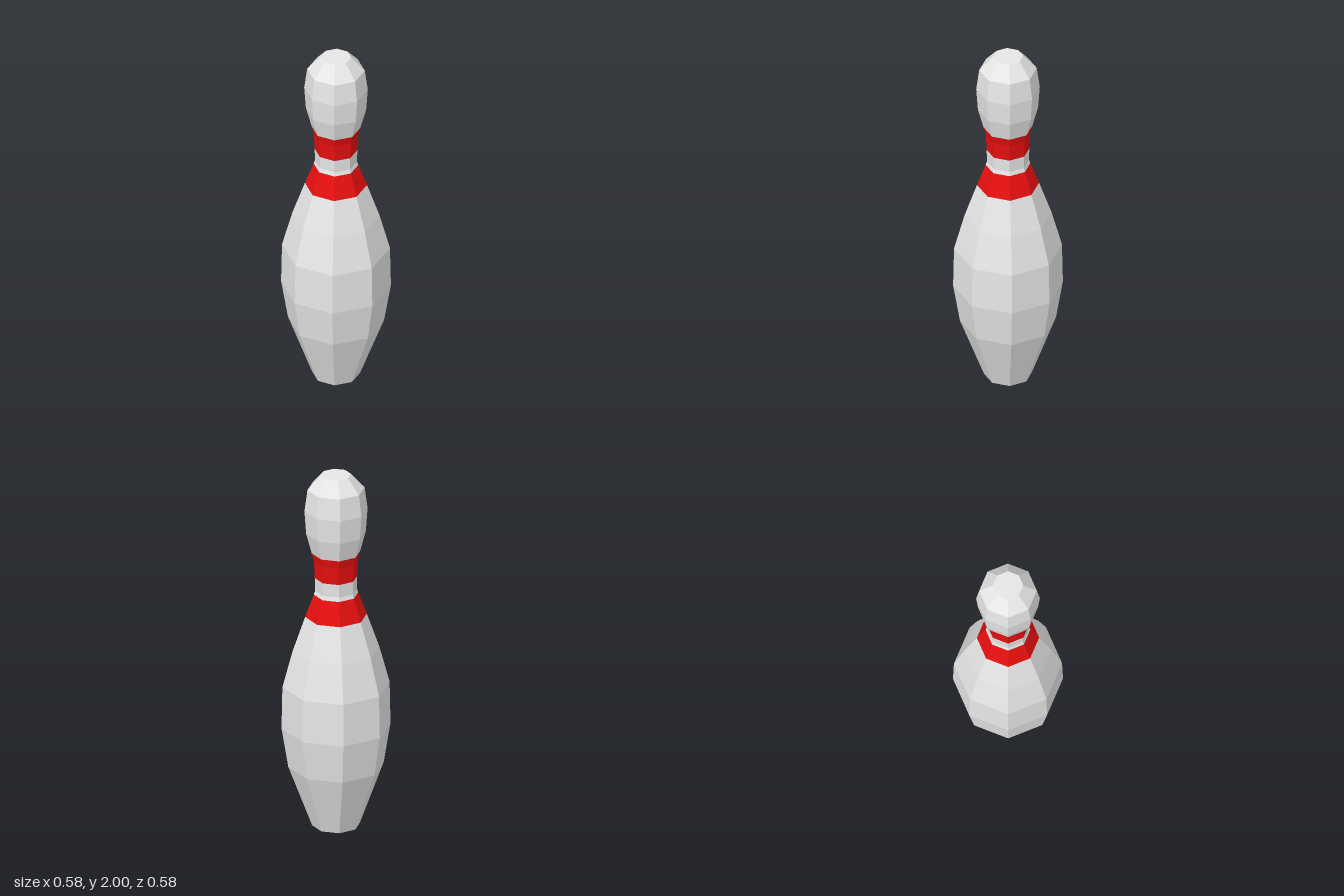
import * as THREE from 'three';

const SIDES = 8;

export function createModel() {
  const white = new THREE.MeshStandardMaterial({ color: 0xe6e6e6, flatShading: true });
  white.name = 'pinWhite';
  const red = new THREE.MeshStandardMaterial({ color: 0xe60f0f, flatShading: true });
  red.name = 'stripeRed';

  const pin = new THREE.Group();
  pin.name = 'bowlingPin';

  // Each section is an eight-sided lathe of [radius, height] points, bottom to top
  function section(name, material, profile) {
    const points = profile.map(([r, y]) => new THREE.Vector2(r, y));
    const geometry = new THREE.LatheGeometry(points, SIDES).toNonIndexed();
    geometry.computeVertexNormals();
    const mesh = new THREE.Mesh(geometry, material);
    mesh.name = name;
    pin.add(mesh);
  }

  // Flat octagonal end, facing up or down
  function cap(name, radius, y, up) {
    const geometry = new THREE.CircleGeometry(radius, SIDES);
    geometry.rotateX(up ? -Math.PI / 2 : Math.PI / 2);
    const mesh = new THREE.Mesh(geometry, white);
    mesh.name = name;
    mesh.position.y = y;
    pin.add(mesh);
  }

  cap('base', 0.127, 0, false);
  section('belly', white, [
    [0.127, 0], [0.254, 0.342], [0.29, 0.565], [0.285, 0.8], [0.23, 1.005], [0.164, 1.195],
  ]);
  section('lowerStripe', red, [[0.164, 1.195], [0.118, 1.32]]);
  section('neck', white, [[0.118, 1.32], [0.111, 1.342], [0.113, 1.415]]);
  section('upperStripe', red, [[0.113, 1.415], [0.117, 1.51], [0.129, 1.557]]);
  section('head', white, [
    [0.129, 1.557], [0.159, 1.67], [0.168, 1.8], [0.152, 1.92], [0.08, 2],
  ]);
  cap('crown', 0.08, 2, true);

  return pin;
}
